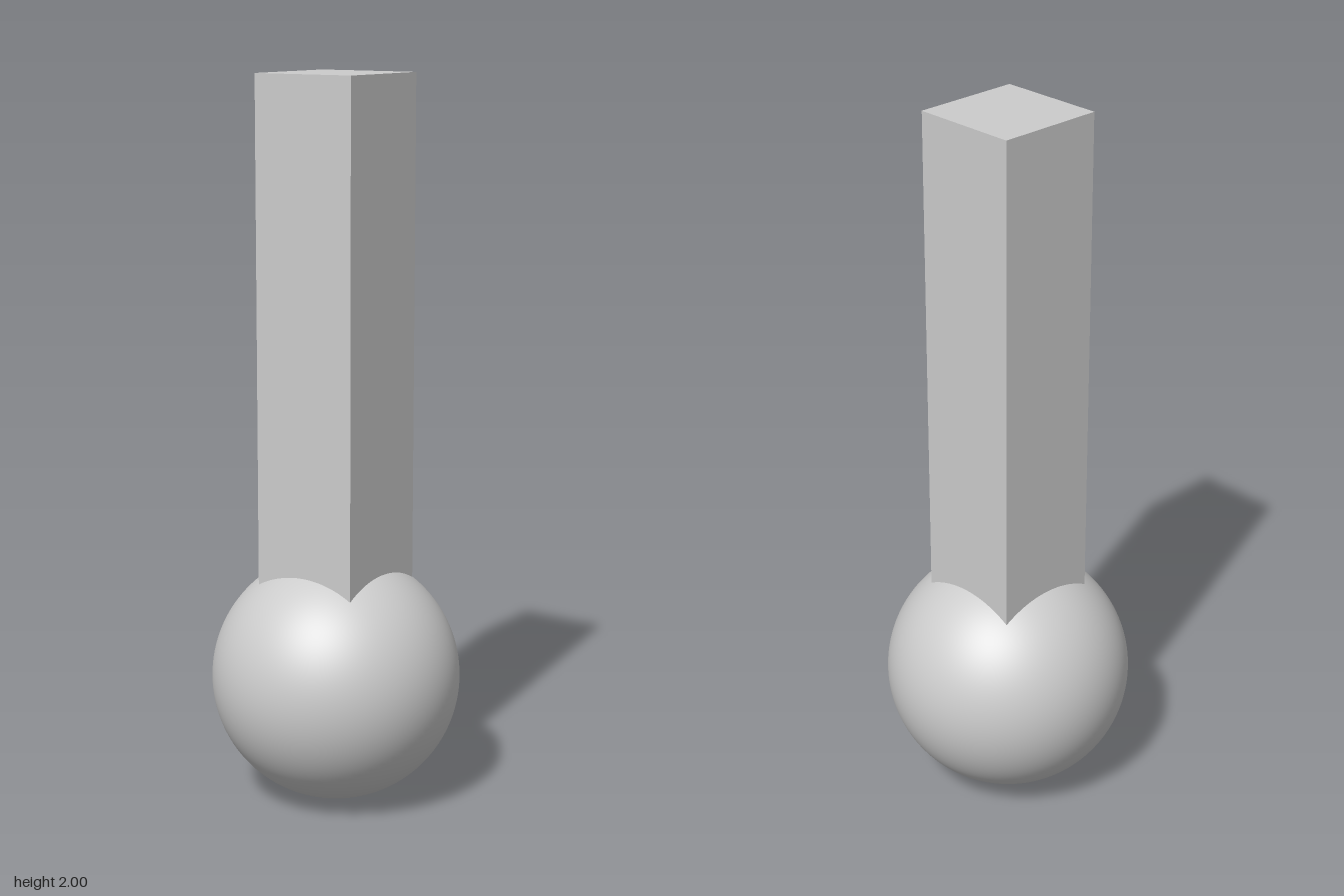
import * as THREE from 'three';

export function createModel() {
  const group = new THREE.Group();
  const material = new THREE.MeshStandardMaterial({ color: 0xcccccc });
  const radius = 0.345;
  const width = 0.305;
  const top = 2;

  // Smooth ball at the base
  const ball = new THREE.Mesh(new THREE.SphereGeometry(radius, 128, 64), material);
  ball.name = 'ball';
  ball.position.y = radius;

  // Square post rising out of the ball, starting at its centre
  const height = top - radius;
  const post = new THREE.Mesh(new THREE.BoxGeometry(width, height, width), material);
  post.name = 'post';
  post.position.y = radius + height / 2;

  group.add(ball, post);
  return group;
}
